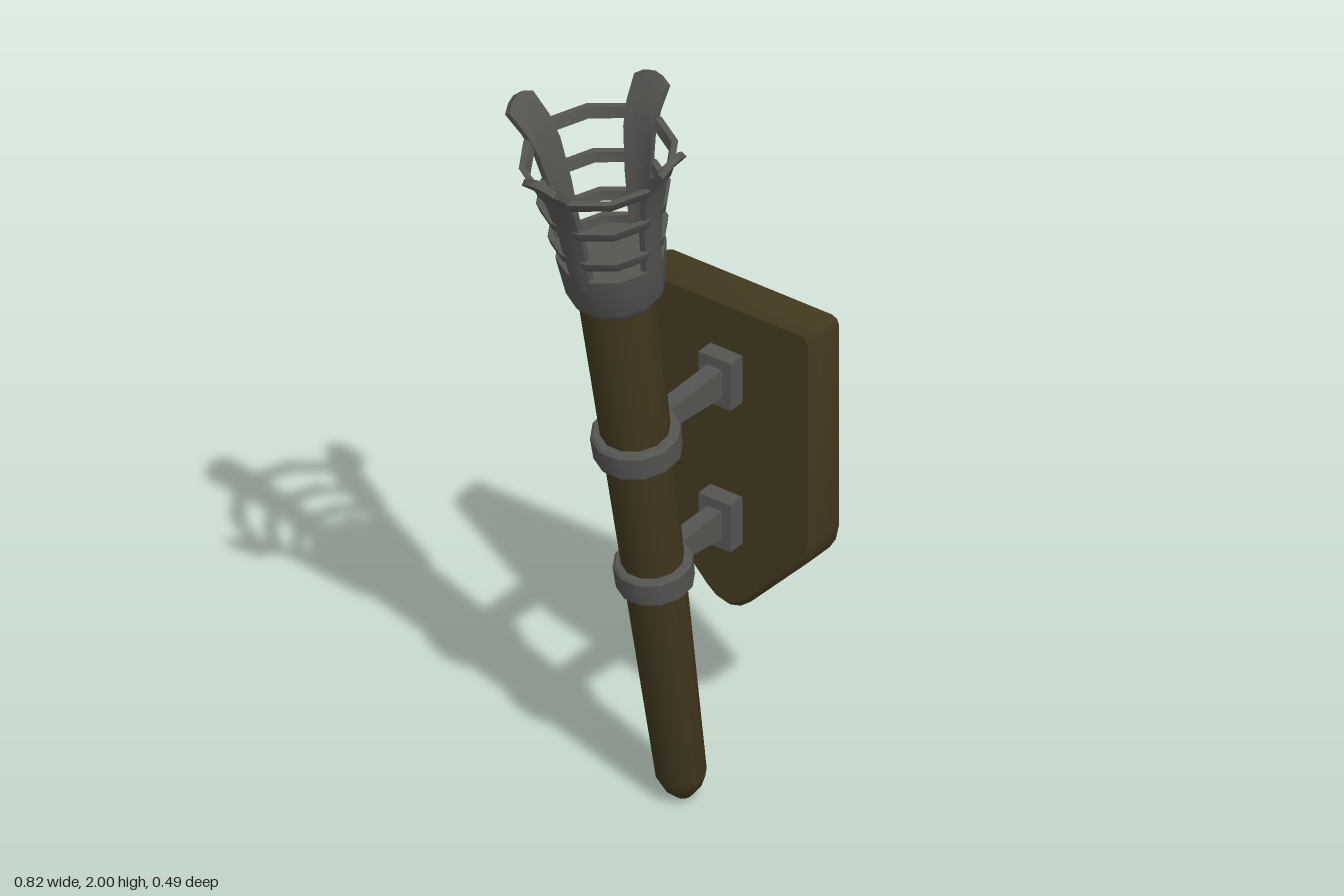
import * as THREE from 'three';
import { toCreasedNormals } from 'three/addons/utils/BufferGeometryUtils.js';

const wood = new THREE.MeshStandardMaterial({ color: 0x42381f, side: THREE.DoubleSide });
wood.name = 'dark wood';
const iron = new THREE.MeshStandardMaterial({ color: 0x545451 });
iron.name = 'grey iron';

function add(parent, name, geometry, material, crease = 0.6) {
  const mesh = new THREE.Mesh(toCreasedNormals(geometry, crease), material);
  mesh.name = name;
  parent.add(mesh);
  return mesh;
}

// Turned part from [radius, height] points, with flats facing the axes
function turned(points, sides = 12) {
  return new THREE.LatheGeometry(points.map(p => new THREE.Vector2(...p)), sides, Math.PI / sides);
}

// Closed hoop with chamfered outer edges; r0 and r1 are outer radii at bottom and top
function hoop(y, height, r0, r1, thick, bevel) {
  const a = y - height / 2, b = y + height / 2;
  return turned([
    [r0 - thick, a], [r0 - bevel, a], [r0, a + bevel], [r1, b - bevel],
    [r1 - bevel, b], [r1 - thick, b], [r0 - thick, a],
  ]);
}

// Flared basket strip: side profile extruded, then widened and rounded at the tip
function prongGeometry() {
  const outer = [[0.124, 1.6], [0.134, 1.68], [0.143, 1.76], [0.165, 1.87], [0.19, 1.93], [0.23, 1.985]];
  const inner = [[0.216, 1.996], [0.175, 1.938], [0.149, 1.875], [0.128, 1.76], [0.119, 1.68], [0.108, 1.6]];
  const shape = new THREE.Shape([...outer, ...inner].map(p => new THREE.Vector2(...p)));
  const g = new THREE.ExtrudeGeometry(shape, { depth: 1, steps: 4, bevelEnabled: false });
  const pos = g.attributes.position;
  for (let i = 0; i < pos.count; i++) {
    const t = pos.getZ(i) * 2 - 1;
    const k = (pos.getY(i) - 1.6) / 0.39;
    pos.setXYZ(i, pos.getX(i) - 0.008 * t * t, pos.getY(i) - 0.02 * t * t * k ** 4, t * (0.027 + 0.018 * k));
  }
  return g;
}

// Shield-shaped board, open at the back, with a chamfered front rim
function boardGeometry() {
  const half = [[0.058, 0.455], [0.217, 0.62], [0.234, 0.648], [0.243, 0.69], [0.243, 1.225], [0.237, 1.239], [0.223, 1.245]];
  const outline = [[0, 0.425], [0.03, 0.433], ...half,
    ...half.map(([z, y]) => [-z, y]).reverse(), [-0.03, 0.433]];
  const n = outline.length, verts = [], index = [];
  for (const [x, kz, ky] of [[0.315, 0.942, 0.967], [0.329, 1, 1], [0.412, 1, 1]]) {
    for (const [z, y] of outline) verts.push(x, 0.835 + (y - 0.835) * ky, z * kz);
  }
  verts.push(0.315, 0.835, 0);
  for (let i = 0; i < n; i++) {
    const m = (i + 1) % n;
    index.push(3 * n, i, m);
    for (let j = 0; j < 2; j++) {
      const a = j * n + i, b = j * n + m;
      index.push(a, b + n, b, a, a + n, b + n);
    }
  }
  const g = new THREE.BufferGeometry();
  g.setAttribute('position', new THREE.Float32BufferAttribute(verts, 3));
  g.setIndex(index);
  return g;
}

// Arm that grows taller towards the wall plate
function armGeometry(x0, y0, x1, y1) {
  const g = new THREE.BoxGeometry(1, 1, 1);
  const pos = g.attributes.position;
  for (let i = 0; i < pos.count; i++) {
    const k = pos.getX(i) + 0.5;
    pos.setXYZ(i, x0 + (x1 - x0) * k, y0 + (y1 - y0) * k + pos.getY(i) * (0.05 + 0.025 * k), pos.getZ(i) * 0.042);
  }
  return g;
}

export function createModel() {
  const model = new THREE.Group();
  model.name = 'wallTorch';

  // Leaning torch
  const torch = new THREE.Group();
  torch.name = 'torch';
  torch.position.set(0.157, 0.004, 0);
  torch.rotation.z = 0.169;
  model.add(torch);

  add(torch, 'pole', turned([[0, 0], [0.022, 0.008], [0.045, 0.036], [0.058, 0.068], [0.09, 1.52]]), wood);
  add(torch, 'cup', turned([[0, 1.5], [0.1, 1.5], [0.114, 1.522], [0.127, 1.632],
    [0.114, 1.632], [0.112, 1.61], [0, 1.61]]), iron);

  // Basket
  [[1.685, 0.133, 0.138], [1.787, 0.148, 0.154], [1.897, 0.173, 0.182]].forEach(([y, r0, r1], i) =>
    add(torch, 'basketRing' + (i + 1), hoop(y, 0.026, r0, r1, 0.015, 0.001), iron));
  for (let i = 0; i < 4; i++) {
    add(torch, 'prong' + (i + 1), prongGeometry(), iron).rotation.y = i * Math.PI / 2;
  }

  // Collars around the pole
  add(torch, 'upperCollar', hoop(1.056, 0.072, 0.102, 0.104, 0.03, 0.007), iron);
  add(torch, 'lowerCollar', hoop(0.67, 0.072, 0.09, 0.092, 0.03, 0.007), iron);

  // Wall board and brackets
  add(model, 'board', boardGeometry(), wood);
  for (const [name, x, y0, y] of [['upper', 0.05, 1.06, 1.053], ['lower', 0.1, 0.684, 0.675]]) {
    add(model, name + 'Arm', armGeometry(x, y0, 0.28, y), iron);
    add(model, name + 'Plate', new THREE.BoxGeometry(0.047, 0.125, 0.09), iron).position.set(0.2935, y, 0);
    add(model, name + 'Patch', new THREE.BoxGeometry(0.006, 0.125, 0.09), wood).position.set(0.319, y, 0);
  }
  return model;
}
